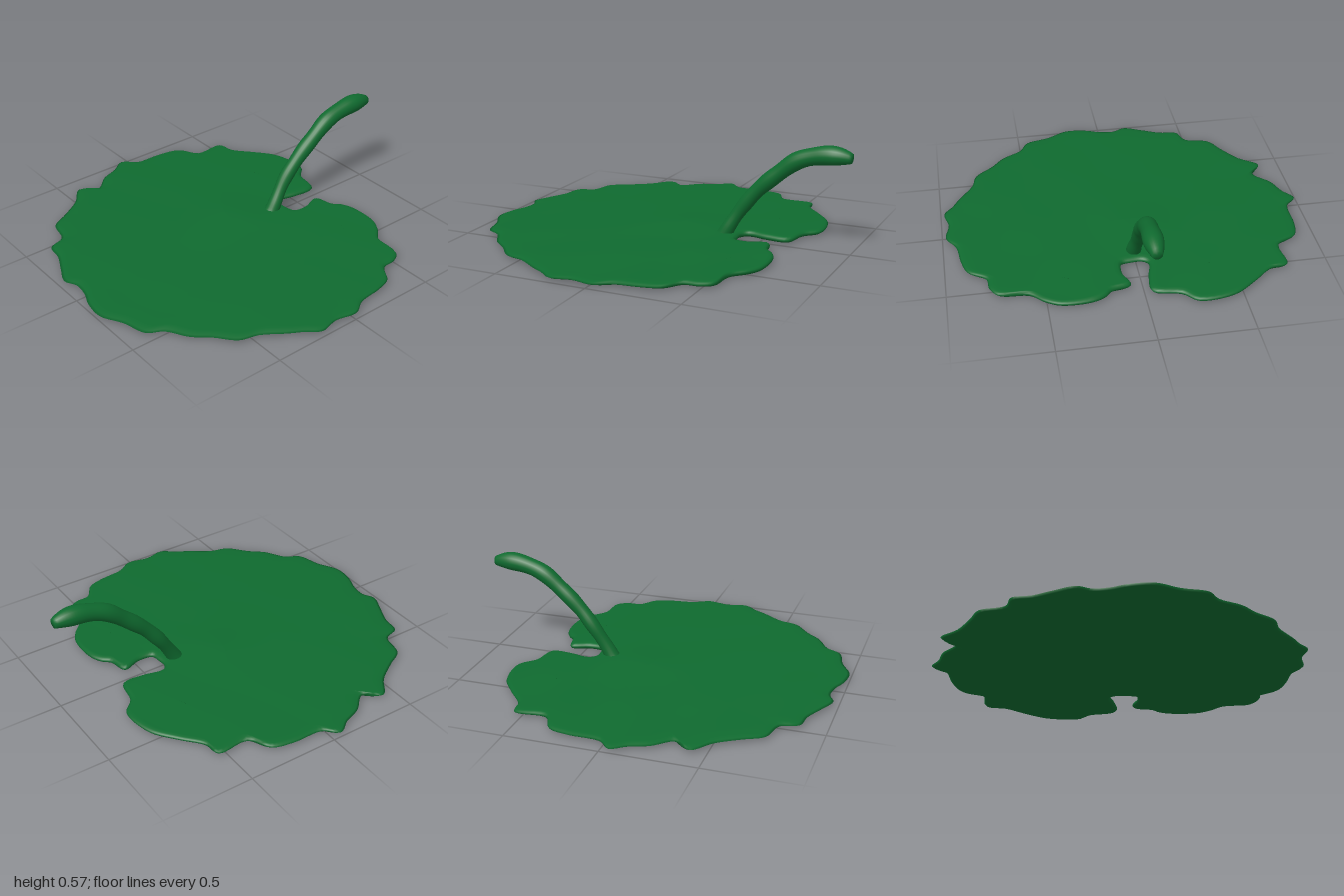
import * as THREE from 'three';

const material = new THREE.MeshStandardMaterial({ color: 0x0f6a2f, roughness: 0.8, side: THREE.DoubleSide });

// Skin a list of closed rings (all with the same point count) into one smooth surface
function loft(rings, name) {
  const n = rings[0].length, pos = [], index = [];
  rings.forEach((ring) => ring.forEach((p) => pos.push(p.x, p.y, p.z)));
  for (let j = 0; j < rings.length - 1; j++) {
    for (let i = 0; i < n; i++) {
      const k = (i + 1) % n;
      const a = j * n + i, b = j * n + k, c = a + n, d = b + n;
      index.push(a, c, b, b, c, d);
    }
  }
  const geo = new THREE.BufferGeometry();
  geo.setAttribute('position', new THREE.Float32BufferAttribute(pos, 3));
  geo.setIndex(index);
  geo.computeVertexNormals();
  const mesh = new THREE.Mesh(geo, material);
  mesh.name = name;
  return mesh;
}

// Leaf rim in hundredths (x, z): right of the notch, round the front, back into the notch
const RIM = [
  8, -40, 9, -48, 6, -58, 16, -61, 20, -65, 27, -68, 43, -68, 51, -64, 59, -57, 74, -55,
  78, -49, 79, -41, 88, -34, 91, -25, 93, -11, 98, -2, 96, 10, 98, 21, 93, 28, 89, 35,
  81, 47, 78, 57, 68, 66, 61, 74, 50, 81, 45, 89, 32, 93, 20, 99, 8, 98, 0, 95,
  -9, 94, -16, 97, -26, 93, -37, 88, -47, 86, -51, 77, -64, 73, -70, 63, -78, 51, -88, 42,
  -82, 33, -90, 23, -94, 13, -99, 5, -93, -2, -92, -19, -89, -30, -78, -37, -78, -54, -69, -56,
  -58, -65, -45, -74, -26, -76, -18, -69, -4, -65, -4, -53, -6, -42, -3, -39, 3, -39,
];

function topHeight(x, z) {
  const r2 = Math.min(1, x * x + z * z);
  const bump = 0.012 * Math.exp(-((x + 0.06) ** 2 + (z + 0.08) ** 2) / 0.03);
  const ripple = 0.0015 * Math.sin(9 * x + 4 * z) * Math.sin(11 * z - 3 * x);
  return 0.027 + 0.012 * (1 - r2) + bump + ripple;
}

function makeLeaf() {
  const points = [];
  for (let i = 0; i < RIM.length; i += 2) points.push(new THREE.Vector3(RIM[i] / 100, 0, RIM[i + 1] / 100));
  const rim = new THREE.CatmullRomCurve3(points, true, 'centripetal').getPoints(points.length * 5);
  rim.pop();

  // Each rim point runs inward to an arc wrapped round the notch
  const notch = new THREE.Vector3(0.01, 0, -0.44);
  const limit = THREE.MathUtils.degToRad(95);
  const inner = rim.map((p) => {
    const dx = p.x - notch.x, dz = p.z - notch.z;
    const a = THREE.MathUtils.clamp(Math.atan2(dx, dz), -limit, limit);
    const r = Math.hypot(dx, dz) < 0.2 ? 0.405 : 0.4;
    return new THREE.Vector3(notch.x + r * Math.sin(a), 0, notch.z + r * Math.cos(a));
  });

  const ringAt = (s, top) => rim.map((p, i) => {
    const q = p.clone().lerp(inner[i], s);
    const f = 1 - (1 - Math.min(1, s / 0.05)) ** 2; // rounded edge
    const under = 0.006 * Math.min(1, q.x * q.x + q.z * q.z);
    q.y = THREE.MathUtils.lerp(0.018, top ? topHeight(q.x, q.z) : under, f);
    return q;
  });
  const steps = [0.015, 0.05, 0.12, 0.25, 0.4, 0.55, 0.7, 0.85, 1];
  return loft([
    ...[...steps].reverse().map((s) => ringAt(s, false)),
    ringAt(0, true),
    ...steps.map((s) => ringAt(s, true)),
  ], 'leafBlade');
}

function makeStem() {
  const path = new THREE.CatmullRomCurve3([
    [0, 0.015, -0.3], [0, 0.07, -0.33], [-0.01, 0.18, -0.4], [-0.005, 0.29, -0.49], [0, 0.39, -0.6],
    [0.003, 0.473, -0.71], [0.008, 0.51, -0.83], [0.01, 0.517, -0.92], [0.01, 0.51, -0.995],
  ].map((p) => new THREE.Vector3(...p)));
  const side = new THREE.Vector3(1, 0, 0);
  const rings = [];
  const ring = (u, radius) => {
    const p = path.getPointAt(u);
    const up = side.clone().cross(path.getTangentAt(u)).normalize();
    rings.push(Array.from({ length: 20 }, (_, i) => {
      const a = (i / 20) * Math.PI * 2;
      return p.clone().addScaledVector(side, radius * Math.cos(a)).addScaledVector(up, radius * Math.sin(a));
    }));
  };
  // Thin at the leaf, thicker and rounded off at the free end
  for (let i = 0; i <= 60; i++) {
    const u = i / 60;
    const wobble = 0.0015 * Math.sin(u * 31);
    const tip = 1 - 0.5 * Math.max(0, (u - 0.88) / 0.12) ** 2;
    ring(u, (0.034 + 0.018 * u + 0.01 * Math.exp(-u * 25) + wobble) * tip);
  }
  ring(1, 0.001);
  const stem = loft(rings, 'stem');
  // Keep the buried foot above the underside of the leaf
  const pos = stem.geometry.attributes.position;
  for (let i = 0; i < pos.count; i++) pos.setY(i, Math.max(0.012, pos.getY(i)));
  stem.geometry.computeVertexNormals();
  return stem;
}

export function createModel() {
  const group = new THREE.Group();
  group.name = 'lilyPad';
  group.add(makeLeaf(), makeStem());
  return group;
}
